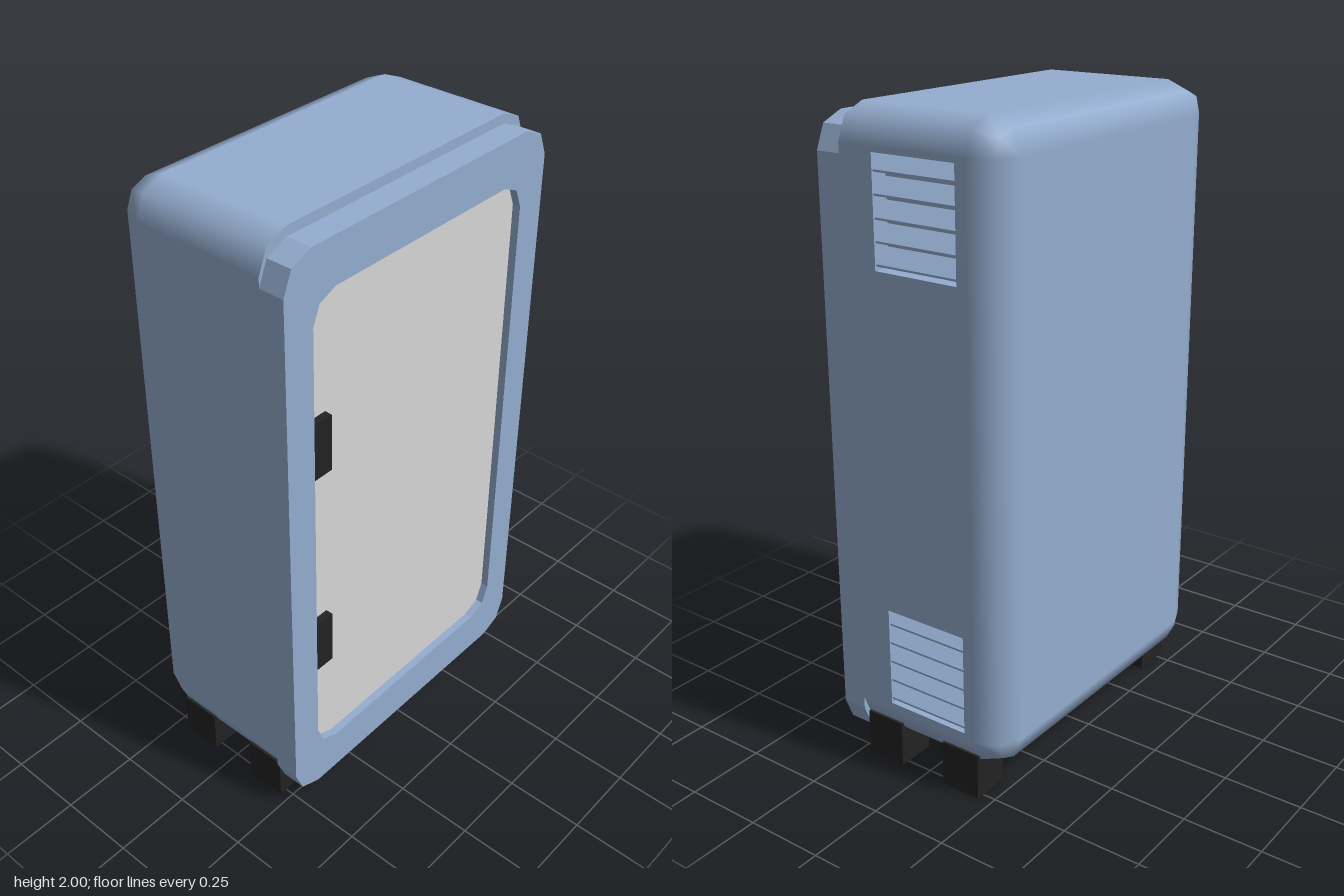
import * as THREE from 'three';

const blue = new THREE.MeshStandardMaterial({ color: 0x94adcf });
blue.name = 'blue shell';
const grey = new THREE.MeshStandardMaterial({ color: 0xd6d6d6 });
grey.name = 'grey panel';
const black = new THREE.MeshStandardMaterial({ color: 0x222222 });
black.name = 'black rubber';

const W = 0.54, BOTTOM = 0.1, TOP = 2, BACK = -0.305, SEAM = 0.225, FRONT = 0.305, R = 0.1;

// Rounded rectangle outline with two facets per corner, counterclockwise from the right side
function outline(halfWidth, y0, y1, r) {
  const points = [];
  [[1, 1], [-1, 1], [-1, -1], [1, -1]].forEach(([sx, sy], corner) => {
    for (let k = 0; k < 3; k++) {
      const a = (corner + k / 2) * Math.PI / 2;
      const cy = sy > 0 ? y1 - r : y0 + r;
      points.push(new THREE.Vector2(sx * (halfWidth - r) + r * Math.cos(a), cy + r * Math.sin(a)));
    }
  });
  return points;
}

// Body shell: rings running from the front seam to the rounded back, right side left open
function shellGeometry() {
  const position = [], normal = [], index = [];
  const rings = [[SEAM, 0], [BACK + R, 0], [BACK + R, Math.PI / 4], [BACK + R, Math.PI / 2]];
  for (const [z, tilt] of rings) {
    const r = R * Math.cos(tilt);
    const inset = R - r;
    outline(W - inset, BOTTOM + inset, TOP - inset, r).forEach((p, i) => {
      const a = (Math.floor(i / 3) + (i % 3) / 2) * Math.PI / 2;
      position.push(p.x, p.y, z - R * Math.sin(tilt));
      normal.push(Math.cos(tilt) * Math.cos(a), Math.cos(tilt) * Math.sin(a), -Math.sin(tilt));
    });
  }
  // The second and third rings share a centre, so tilt alone makes the back bevel
  for (let j = 0; j < 3; j++) {
    for (let i = 0; i < 12; i++) {
      if (j === 0 && i === 11) continue;
      const a = j * 12 + i, b = j * 12 + (i + 1) % 12;
      index.push(a, a + 12, b, b, a + 12, b + 12);
    }
  }
  for (let i = 1; i < 11; i++) index.push(36, 36 + i + 1, 36 + i);
  const g = new THREE.BufferGeometry();
  g.setAttribute('position', new THREE.Float32BufferAttribute(position, 3));
  g.setAttribute('normal', new THREE.Float32BufferAttribute(normal, 3));
  g.setIndex(index);
  return g;
}

function rectangle(x0, x1, y0, y1) {
  return [[x0, y0], [x1, y0], [x1, y1], [x0, y1]].map(([x, y]) => new THREE.Vector2(x, y));
}

export function createModel() {
  const model = new THREE.Group();
  model.name = 'cabinet';
  const add = (name, geometry, material, x = 0, y = 0, z = 0) => {
    const mesh = new THREE.Mesh(geometry, material);
    mesh.name = name;
    mesh.position.set(x, y, z);
    model.add(mesh);
    return mesh;
  };
  const extrude = (shape, depth) => new THREE.ExtrudeGeometry(shape, { depth, bevelEnabled: false });

  // Body
  add('bodyShell', shellGeometry(), blue);
  add('bodyFront', new THREE.ShapeGeometry(new THREE.Shape(outline(W, BOTTOM, TOP, R))), blue, 0, 0, SEAM);

  // Right wall with two vent openings
  const vents = [[0.22, 0.535], [1.565, 1.885]];
  const ventBack = -0.17, ventFront = 0.11, wall = 0.06;
  const side = new THREE.Shape(rectangle(-SEAM, -(BACK + R), BOTTOM + R, TOP - R));
  for (const [y0, y1] of vents) {
    side.holes.push(new THREE.Path(rectangle(-ventFront, -ventBack, y0, y1).reverse()));
  }
  add('ventedSide', extrude(side, wall).rotateY(Math.PI / 2), blue, W - wall);

  // Sloping louvres filling each opening
  for (const [y0, y1] of vents) {
    const count = 5, pitch = (y1 - y0) / count;
    const saw = new THREE.Shape();
    saw.moveTo(-0.02, y0);
    for (let i = 0; i < count; i++) {
      const y = y0 + i * pitch;
      saw.lineTo(0, y);
      saw.lineTo(0.05, y + 0.012);
      saw.lineTo(0.05, y + 0.018);
      saw.lineTo(0, y + pitch * 0.9);
    }
    saw.lineTo(0, y1);
    saw.lineTo(-0.02, y1);
    add('louvres', extrude(saw, ventFront - ventBack), blue, W - 0.055, 0, ventBack);
  }

  // Door frame and recessed panel
  const frame = new THREE.Shape(outline(W, 0.06, 1.97, R));
  const opening = outline(0.437, 0.203, 1.828, 0.085);
  frame.holes.push(new THREE.Path(opening.slice().reverse()));
  add('doorFrame', extrude(frame, FRONT - SEAM), blue, 0, 0, SEAM);
  add('doorPanel', extrude(new THREE.Shape(opening), 0.055), grey, 0, 0, SEAM);

  // Hinges
  for (const y of [0.64, 1.355]) {
    add('hinge', new THREE.BoxGeometry(0.07, 0.182, 0.03), black, -0.403, y, 0.289);
  }

  // Feet
  for (const x of [-0.463, 0.463]) {
    for (const z of [0.154, -0.139]) {
      add('foot', new THREE.BoxGeometry(0.125, 0.145, 0.133), black, x, 0.0725, z);
    }
  }
  return model;
}
